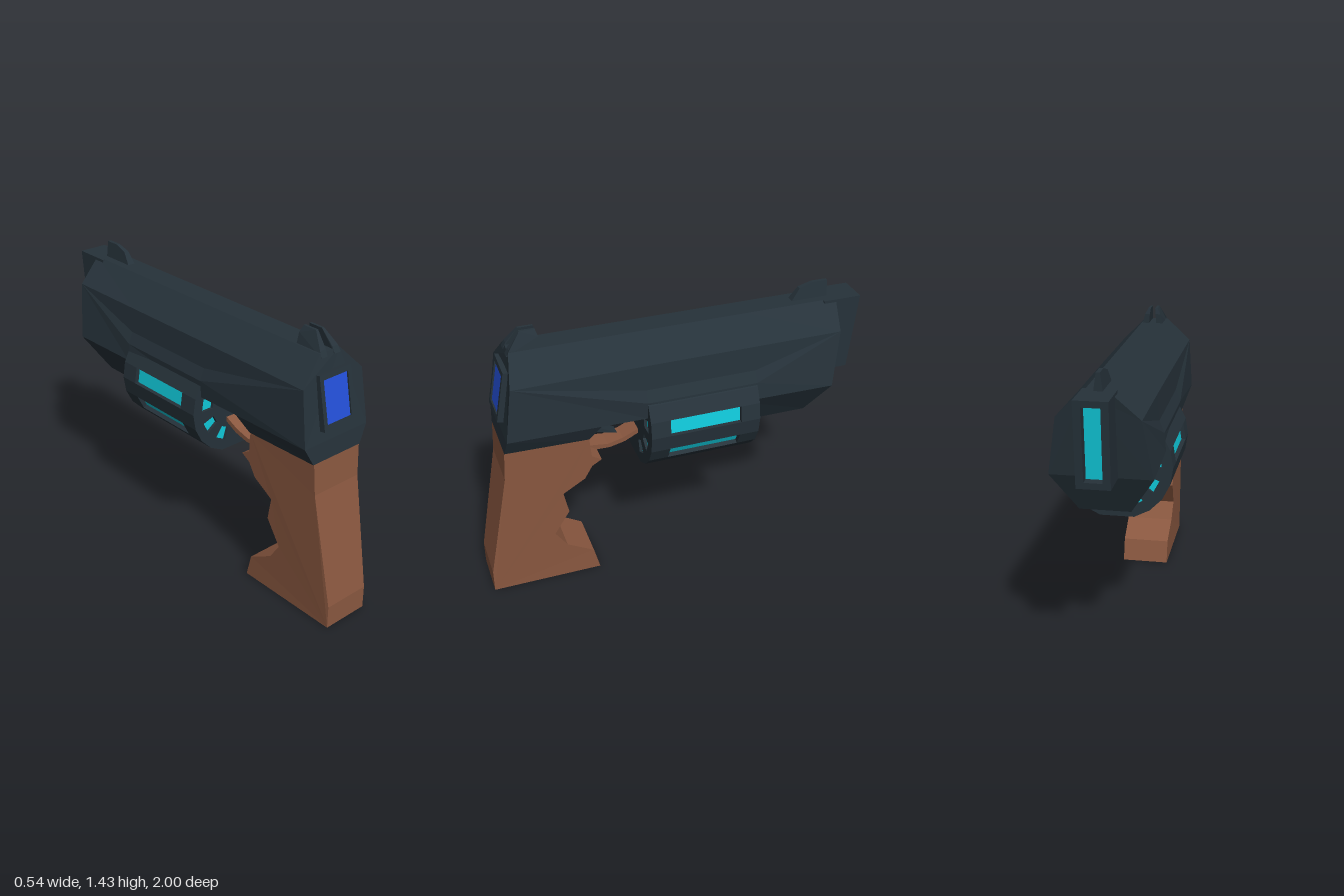
import * as THREE from 'three';

const mat = (name, color) => {
  const m = new THREE.MeshStandardMaterial({ color });
  m.name = name;
  return m;
};

// Extrudes a [z, y] profile sideways; xAt(s, y) places the sides, s = -1 or 1.
function sideExtrude(profile, xAt) {
  const shape = new THREE.Shape(profile.map(([z, y]) => new THREE.Vector2(z, y)));
  const geo = new THREE.ExtrudeGeometry(shape, { depth: 2, bevelEnabled: false });
  geo.translate(0, 0, -1).rotateY(-Math.PI / 2);
  const p = geo.attributes.position;
  for (let i = 0; i < p.count; i++) p.setX(i, xAt(Math.sign(p.getX(i)), p.getY(i)));
  geo.computeVertexNormals();
  return geo;
}
const span = (a, b) => (s) => (s < 0 ? a : b);
const ramp = (y, y0, y1, a, b) => THREE.MathUtils.mapLinear(THREE.MathUtils.clamp(y, y0, y1), y0, y1, a, b);

// Flat-faced loft through mirrored half sections of [x, y, z], ordered from +z to -z.
function loft(sections) {
  const rings = sections.map((half) => [
    ...half, ...half.slice().reverse().map(([x, y, z]) => [-x, y, z]),
  ]);
  const n = rings[0].length, out = [];
  const tri = (a, b, c) => {
    const t = new THREE.Triangle(...[a, b, c].map((v) => new THREE.Vector3(...v)));
    if (t.getArea() > 1e-7) out.push(...a, ...b, ...c);
  };
  for (let i = 0; i + 1 < rings.length; i++) {
    for (let k = 0; k < n; k++) {
      const j = (k + 1) % n, A = rings[i], B = rings[i + 1];
      tri(A[k], A[j], B[j]);
      tri(A[k], B[j], B[k]);
    }
  }
  const first = rings[0], last = rings[rings.length - 1];
  for (let k = 1; k + 1 < n; k++) {
    tri(first[0], first[k + 1], first[k]);
    tri(last[0], last[k], last[k + 1]);
  }
  const geo = new THREE.BufferGeometry();
  geo.setAttribute('position', new THREE.Float32BufferAttribute(out, 3));
  geo.computeVertexNormals();
  return geo;
}

export function createModel() {
  const steel = mat('dark steel', 0x26323a);
  const wood = mat('brown grip', 0x8a5840);
  const glow = mat('cyan glow', 0x10cadb);
  const blue = mat('blue screen', 0x2450d8);

  const model = new THREE.Group();
  const frame = new THREE.Group();
  frame.name = 'frame';
  frame.position.x = -0.007;
  model.add(frame);
  const add = (name, geo, material, parent = frame) => {
    const mesh = new THREE.Mesh(geo, material);
    mesh.name = name;
    parent.add(mesh);
    return mesh;
  };

  // Main body: the side ridge splits into a flared shoulder above the drum
  const rear = [0.187, 1.225, 0.83], front = [0.19, 1.23, -0.845];
  const middle = (z, low) => [
    [0.062, 1.35, z], [0.187, 1.228, z], [0.197, 1.1, z], [0.222, 1.04, z], [low, 0.95, z],
  ];
  add('body', loft([
    [[0.062, 1.35, 0.8], rear, rear, rear, [0.2, 0.95, 0.87]],
    middle(0.18, 0.215),
    middle(-0.39, 0.23),
    [[0.062, 1.35, -0.87], front, front, front, [0.237, 0.95, -0.8]],
  ]), steel);
  add('receiver', loft([
    [[0.2, 0.95, 0.87], [0.152, 0.86, 0.88]],
    [[0.2, 0.95, 0.4], [0.152, 0.85, 0.46]],
  ]), steel);
  add('underBarrel', loft([
    [[0.228, 0.95, -0.3], [0.12, 0.76, -0.3]],
    [[0.237, 0.95, -0.8], [0.12, 0.76, -0.71]],
  ]), steel);

  // Muzzle: a slotted box with a glowing strip at the back of the slot
  const muzzleZ = (y) => ramp(y, 0.95, 1.35, -0.96, -1);
  const slab = (y0, y1, inset = 0) => [
    [-0.8, y0], [muzzleZ(y0) + inset, y0], [muzzleZ(y1) + inset, y1], [-0.8, y1],
  ];
  add('muzzleWall', sideExtrude(slab(0.95, 1.35), span(-0.077, -0.042)), steel);
  add('muzzleWall', sideExtrude(slab(0.95, 1.35), span(0.042, 0.077)), steel);
  add('muzzleTop', sideExtrude(slab(1.32, 1.35), span(-0.042, 0.042)), steel);
  add('muzzleBottom', sideExtrude(slab(0.95, 0.98), span(-0.042, 0.042)), steel);
  add('muzzleGlow', sideExtrude(slab(0.98, 1.32, 0.05), span(-0.042, 0.042)), glow);

  // Sights
  const rearSight = [[0.81, 1.33], [0.795, 1.36], [0.735, 1.432], [0.66, 1.432], [0.65, 1.4], [0.65, 1.33]];
  const outer = (y) => (y < 1.4 ? ramp(y, 1.35, 1.4, 0.06, 0.042) : ramp(y, 1.4, 1.432, 0.042, 0.025));
  const inner = (y) => ramp(y, 1.35, 1.432, 0.022, 0.012);
  add('rearSight', sideExtrude(rearSight, (s, y) => (s < 0 ? inner(y) : outer(y))), steel);
  add('rearSight', sideExtrude(rearSight, (s, y) => (s < 0 ? -outer(y) : -inner(y))), steel);
  add('frontSight', sideExtrude(
    [[-0.64, 1.34], [-0.69, 1.41], [-0.76, 1.432], [-0.84, 1.432], [-0.84, 1.34]],
    (s, y) => s * ramp(y, 1.35, 1.432, 0.022, 0.009)), steel);

  // Grip, trigger guard and trigger
  add('grip', sideExtrude([
    [1, 0], [1, 0.12], [0.89, 0.7], [0.88, 0.86], [0.46, 0.85], [0.45, 0.74], [0.4, 0.71],
    [0.45, 0.68], [0.49, 0.61], [0.605, 0.54], [0.58, 0.42], [0.66, 0.29], [0.6, 0.2],
    [0.46, 0.12], [0.43, 0],
  ], (s, y) => s * ramp(y, 0.12, 0.86, 0.125, 0.147)), wood);
  add('triggerGuard', sideExtrude([
    [0.48, 0.745], [0.34, 0.728], [0.26, 0.748], [0.17, 0.79], [0.17, 0.765],
    [0.25, 0.725], [0.33, 0.706], [0.48, 0.71],
  ], span(-0.05, 0.05)), wood);
  add('trigger', sideExtrude([
    [0.4, 0.96], [0.39, 0.88], [0.365, 0.815], [0.285, 0.772], [0.39, 0.798],
    [0.46, 0.87], [0.47, 0.96],
  ], span(-0.03, 0.03)), steel);

  // Rear screen in a raised frame, tilted with the rear face
  const display = new THREE.Group();
  display.name = 'display';
  display.position.set(0, 1.14, 0.865);
  display.rotation.x = -0.19;
  frame.add(display);
  for (const s of [-1, 1]) {
    add('screenFrameSide', new THREE.BoxGeometry(0.022, 0.264, 0.04), steel, display)
      .position.set(s * 0.088, 0, -0.02);
    add('screenFrameEnd', new THREE.BoxGeometry(0.154, 0.026, 0.04), steel, display)
      .position.set(0, s * 0.119, -0.02);
  }
  add('screen', new THREE.BoxGeometry(0.154, 0.212, 0.008), blue, display).position.z = -0.012;

  // Drum: a glowing core inside a shell with side and end windows
  const drum = new THREE.Group();
  drum.name = 'drum';
  drum.position.set(0, 0.865, -0.105);
  model.add(drum);
  const R = 0.272, half = 0.285, ring = 0.1;
  const polar = (r, deg) => {
    const a = THREE.MathUtils.degToRad(deg);
    return new THREE.Vector2(r * Math.cos(a), r * Math.sin(a));
  };
  const arc = (r, a, b, step = 18) => {
    const pts = [];
    for (let d = a; d <= b; d += step) pts.push(polar(r, d));
    return pts;
  };
  const outline = (r) => [...arc(r, -72, 72), ...arc(r, 108, 252)];
  const sector = (r0, r1, a, b, step) => [...arc(r1, a, b, step), ...arc(r0, a, b, step).reverse()];
  const prism = (pts, z0, z1, holes = []) => {
    const shape = new THREE.Shape(pts);
    shape.holes = holes.map((h) => new THREE.Path(h));
    return new THREE.ExtrudeGeometry(shape, { depth: z1 - z0, bevelEnabled: false }).translate(0, 0, z0);
  };
  const mirrored = (list) => [...list, ...list.map(([a, b]) => [180 - b, 180 - a])];
  const windows = mirrored([[0, 18], [-36, -18], [-72, -54]]);
  const bars = mirrored([[18, 72], [-18, 0], [-54, -36]]);
  const holes = windows.map(([a, b]) => sector(0.15, 0.218, a, b));

  add('drumCore', prism(outline(0.25), -half + 0.015, half - 0.015), glow, drum);
  add('drumEnd', prism(outline(R), half - ring, half, holes), steel, drum);
  add('drumEnd', prism(outline(R), -half, ring - half, holes), steel, drum);
  for (const [a, b] of bars) {
    add('drumBar', prism(sector(0.2, R, a, b), ring - half, half - ring), steel, drum);
  }
  for (const a of [72, 252]) {
    add('drumBar', prism(sector(0.2, R, a, a + 36, 36), ring - half, half - ring), steel, drum);
  }
  return model;
}
